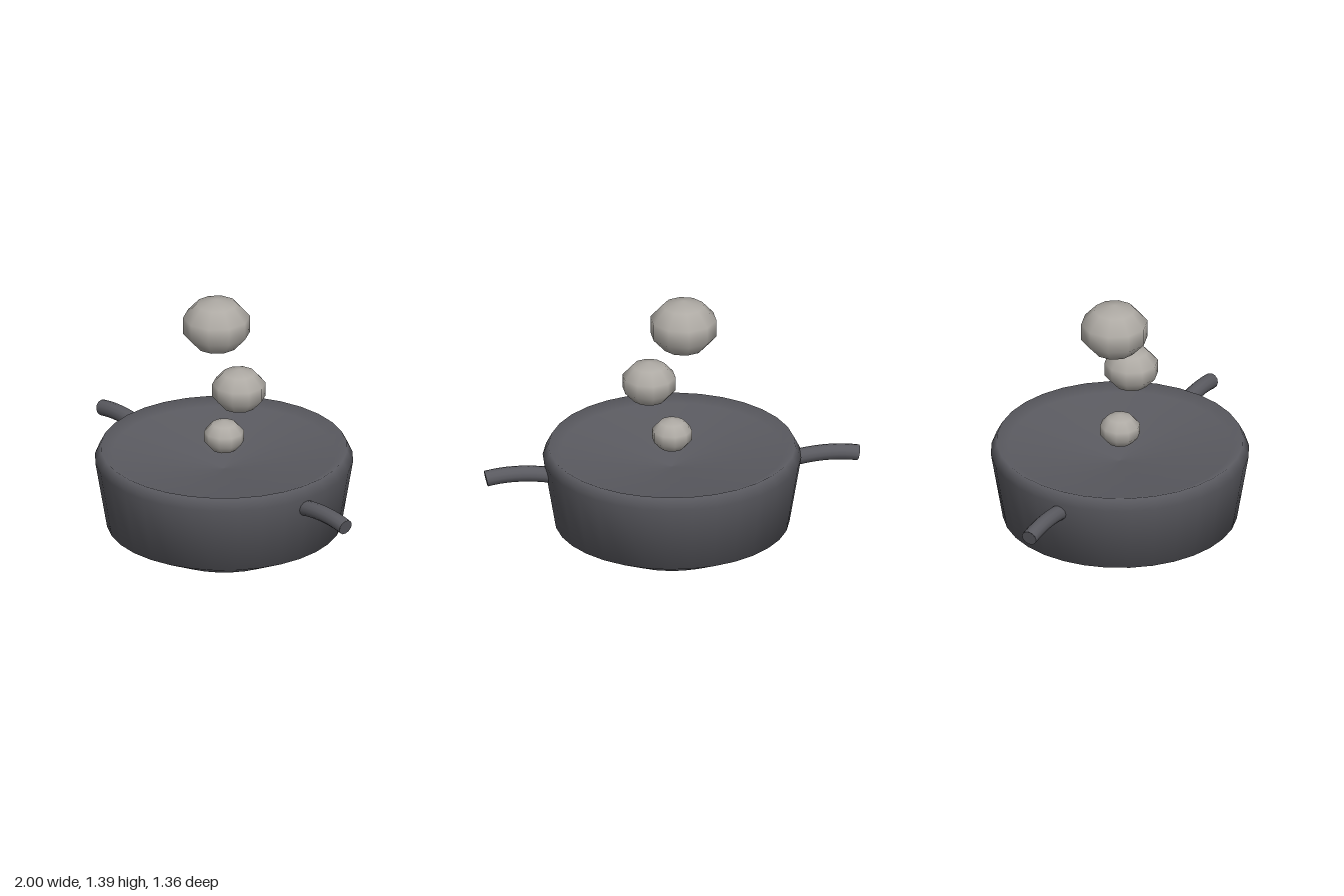
import * as THREE from 'three';

export function createModel() {
  const model = new THREE.Group();
  const iron = new THREE.MeshStandardMaterial({ color: 0x5a5a60 });
  iron.name = 'dark iron';
  const steam = new THREE.MeshStandardMaterial({ color: 0xaeaaa4 });
  steam.name = 'pale grey steam';

  function add(name, geometry, material) {
    const mesh = new THREE.Mesh(geometry, material);
    mesh.name = name;
    model.add(mesh);
    return mesh;
  }

  // Pot: flat foot, flared base, leaning wall, bevelled rim, inner lip and shallow dished top
  const profile = [
    [0, 0], [0.37, 0], [0.617, 0.125], [0.679, 0.495], [0.648, 0.556], [0.586, 0.525], [0, 0.432],
  ].map(([r, y]) => new THREE.Vector2(r, y));
  add('pot', new THREE.LatheGeometry(profile, 32), iron);

  // Arched tube handles with capped tips
  for (const side of [1, -1]) {
    const name = side > 0 ? 'leftHandle' : 'rightHandle';
    const arc = new THREE.QuadraticBezierCurve3(
      new THREE.Vector3(side * 0.62, 0.428, 0),
      new THREE.Vector3(side * 0.82, 0.473, 0),
      new THREE.Vector3(side * 0.99, 0.438, 0),
    );
    add(name, new THREE.TubeGeometry(arc, 10, 0.042, 12), iron);
    const cap = add(name + 'Tip', new THREE.CircleGeometry(0.042, 12), iron);
    cap.position.copy(arc.getPoint(1));
    cap.quaternion.setFromUnitVectors(new THREE.Vector3(0, 0, 1), arc.getTangent(1));
  }

  // Squashed steam puffs growing as they rise: x, y, radius
  [[0, 0.62, 0.111], [0.122, 0.93, 0.148], [-0.061, 1.24, 0.185]].forEach(([x, y, r], i) => {
    const puff = add('steamPuff' + (i + 1), new THREE.SphereGeometry(r, 10, 5), steam);
    puff.position.set(x, y, 0);
    puff.rotation.y = Math.PI / 2;
    puff.scale.y = 0.8;
  });

  return model;
}
